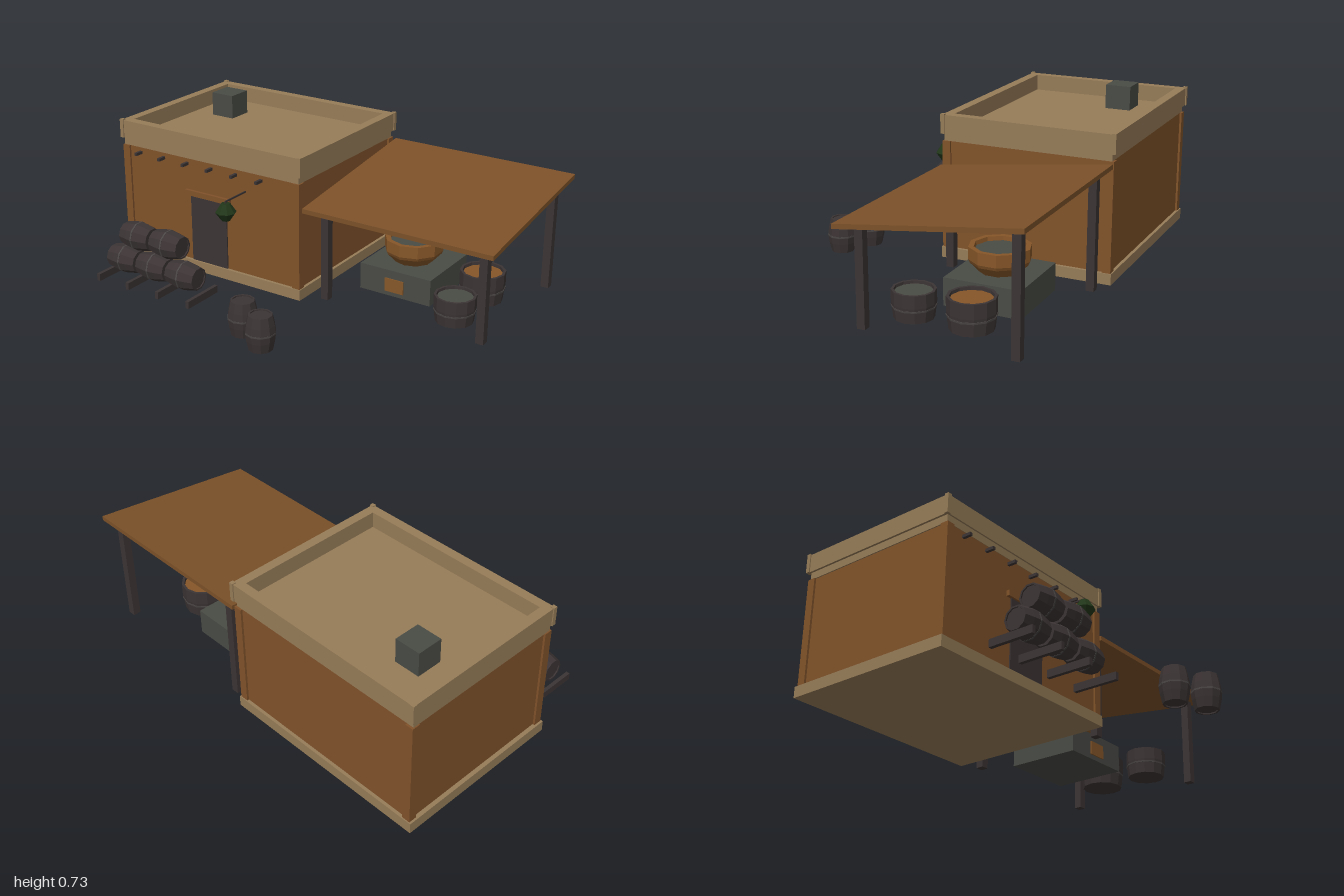
import * as THREE from 'three';

const mat = (name, color) => {
  const m = new THREE.MeshStandardMaterial({ color });
  m.name = name;
  return m;
};

export function createModel() {
  const adobe = mat('adobe trim', 0x967c58);
  const wall = mat('wall brown', 0x80522a);
  const canopyWood = mat('canopy wood', 0x7c5129);
  const dark = mat('dark timber', 0x3c3434);
  const stone = mat('grey stone', 0x494b45);
  const iron = mat('barrel band', 0x4a4645);
  const clay = mat('clay', 0x865628);
  const green = mat('lantern green', 0x213619);

  const root = new THREE.Group();
  root.name = 'workshop';

  const add = (name, geo, material, parent = root) => {
    const m = new THREE.Mesh(geo, material);
    m.name = name;
    parent.add(m);
    return m;
  };
  // Box given by its minimum and maximum corners
  const box = (name, material, x0, x1, y0, y1, z0, z1, parent = root) => {
    const m = add(name, new THREE.BoxGeometry(x1 - x0, y1 - y0, z1 - z0), material, parent);
    m.position.set((x0 + x1) / 2, (y0 + y1) / 2, (z0 + z1) / 2);
    return m;
  };
  // Faceted turned shape from [radius, height] pairs
  const turned = (points, sides) => {
    const g = new THREE.LatheGeometry(points.map(([r, y]) => new THREE.Vector2(r, y)), sides).toNonIndexed();
    g.computeVertexNormals();
    return g;
  };

  // House body
  const house = new THREE.Group();
  house.name = 'house';
  root.add(house);
  box('plinth', adobe, -1, 0.05, 0, 0.052, -0.69, 0.15, house);
  box('walls', wall, -0.98, 0.035, 0.052, 0.565, -0.675, 0.135, house);
  for (const x of [-0.99, 0.005]) for (const z of [-0.685, 0.105])
    box('cornerPost', wall, x, x + 0.04, 0.052, 0.565, z, z + 0.04, house);
  box('roofSlab', adobe, -0.985, 0.038, 0.565, 0.61, -0.675, 0.137, house);

  // Parapet around the flat roof
  box('parapetFront', adobe, -0.995, 0.05, 0.6, 0.688, 0.1, 0.145, house);
  box('parapetBack', adobe, -0.995, 0.05, 0.6, 0.688, -0.69, -0.645, house);
  box('parapetRight', adobe, -0.995, -0.95, 0.6, 0.688, -0.645, 0.1, house);
  box('parapetLeft', adobe, 0.005, 0.05, 0.6, 0.688, -0.645, 0.1, house);
  for (const x of [-1, 0.035]) for (const z of [-0.695, 0.13])
    box('parapetCorner', adobe, x, x + 0.02, 0.6, 0.692, z, z + 0.02, house);
  box('chimney', stone, -0.835, -0.71, 0.6, 0.727, -0.492, -0.367, house);

  // Door, lintel and roof beam ends
  box('door', dark, -0.58, -0.37, 0.052, 0.385, 0.135, 0.141, house);
  box('lintel', wall, -0.607, -0.345, 0.385, 0.411, 0.12, 0.151, house);
  for (let i = 0; i < 6; i++) {
    const x = -0.885 + i * 0.143;
    box('beamEnd', dark, x - 0.007, x + 0.007, 0.533, 0.547, 0.12, 0.178, house);
  }

  // Hanging lantern
  box('lanternArm', dark, -0.263, -0.257, 0.464, 0.471, 0.13, 0.288);
  const lantern = add('lantern', turned([[0, 0], [0.021, 0], [0.049, 0.04], [0.021, 0.082], [0, 0.082]], 8), green);
  lantern.position.set(-0.26, 0.377, 0.285);
  box('lanternHook', dark, -0.263, -0.257, 0.455, 0.468, 0.282, 0.288);

  // Barrel with recessed heads and a middle band
  const barrelGeo = turned([[0, 0.006], [0.046, 0.006], [0.046, 0], [0.054, 0], [0.064, 0.045], [0.068, 0.075],
    [0.068, 0.087], [0.064, 0.117], [0.054, 0.162], [0.046, 0.162], [0.046, 0.156], [0, 0.156]], 10);
  const bandGeo = turned([[0.067, 0.077], [0.0692, 0.077], [0.0692, 0.085], [0.067, 0.085]], 10);
  const barrel = (x, y, z, lying) => {
    const g = new THREE.Group();
    g.name = 'barrel';
    add('barrelStaves', barrelGeo, dark, g);
    add('barrelBand', bandGeo, iron, g);
    g.position.set(x, y, z);
    if (lying) g.rotation.z = -Math.PI / 2;
    root.add(g);
  };
  barrel(0.025, 0, 0.55, false);
  barrel(0.17, 0, 0.62, false);
  for (const x of [-0.857, -0.68, -0.503]) barrel(x, 0.103, 0.395, true);
  for (const x of [-0.77, -0.592]) barrel(x, 0.237, 0.395, true);

  // Rack rails under the lying barrels
  for (let i = 0; i < 4; i++) {
    const x = -0.87 + i * 0.18;
    box('rackRail', dark, x - 0.009, x + 0.009, 0, 0.035, 0.285, 0.5);
  }

  // Sloping canopy on four posts
  const roof = new THREE.BoxGeometry(0.94, 0.022, 0.83);
  const p = roof.attributes.position;
  for (let i = 0; i < p.count; i++) p.setY(i, p.getY(i) - p.getZ(i) * 0.126);
  roof.computeVertexNormals();
  add('canopy', roof, canopyWood).position.set(0.53, 0.497, -0.272);
  for (const x of [0.135, 0.925]) {
    box('frontPost', dark, x - 0.019, x + 0.019, 0, 0.436, 0.035, 0.073);
    box('backPost', dark, x - 0.019, x + 0.019, 0, 0.524, -0.65, -0.612);
  }

  // Stone hearth with a clay basin
  box('hearth', stone, 0.205, 0.575, 0, 0.128, -0.49, -0.13);
  box('hearthOpening', clay, 0.34, 0.437, 0.022, 0.087, -0.131, -0.124);
  const basin = add('basin', turned([[0.09, 0.125], [0.132, 0.17], [0.139, 0.185], [0.139, 0.241],
    [0.115, 0.241], [0.11, 0.2]], 10), clay);
  basin.position.set(0.388, 0, -0.308);
  const basinFill = add('basinFill', turned([[0.113, 0.222], [0, 0.222]], 10), stone);
  basinFill.position.copy(basin.position);

  // Open tubs
  const tub = (x, z, r, h, fill) => {
    const g = new THREE.Group();
    g.name = 'tub';
    add('tubStaves', turned([[0, 0], [r * 0.91, 0], [r, h * 0.55], [r, h], [r * 0.88, h], [r * 0.85, h * 0.7]], 12), dark, g);
    add('tubBand', turned([[r * 0.95, h * 0.4], [r * 1.0, h * 0.4], [r * 1.01, h * 0.46], [r * 0.97, h * 0.46]], 12), iron, g);
    add('tubFill', turned([[r * 0.875, h * 0.9], [0, h * 0.9]], 12), fill, g);
    g.position.set(x, 0, z);
    root.add(g);
  };
  tub(0.73, -0.075, 0.096, 0.126, stone);
  tub(0.732, -0.343, 0.106, 0.143, clay);

  return root;
}
